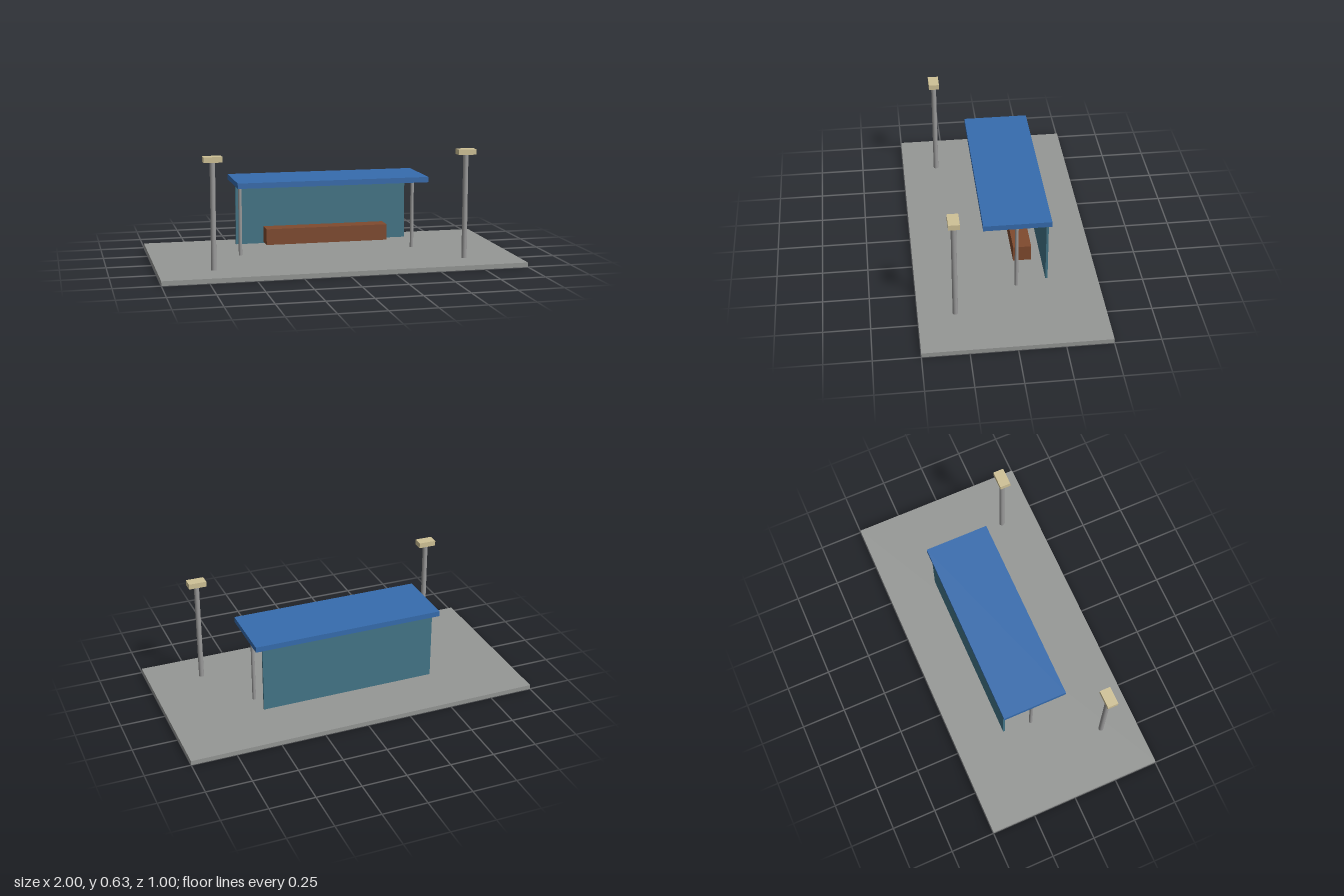
import * as THREE from 'three';

const paint = (name, color) => {
  const m = new THREE.MeshStandardMaterial({ color });
  m.name = name;
  return m;
};

export function createModel() {
  const group = new THREE.Group();
  const concrete = paint('concrete grey', 0x959795);
  const metal = paint('metal grey', 0x999999);
  const roofBlue = paint('roof blue', 0x366cae);
  const panelTeal = paint('panel teal', 0x437587);
  const wood = paint('bench brown', 0x7f4a2e);
  const cream = paint('lamp cream', 0xcfc196);

  const add = (name, geometry, material, x, y, z) => {
    const mesh = new THREE.Mesh(geometry, material);
    mesh.name = name;
    mesh.position.set(x, y, z);
    group.add(mesh);
  };
  // Box and upright post, both placed by their underside
  const box = (name, mat, w, h, d, x, y, z) =>
    add(name, new THREE.BoxGeometry(w, h, d), mat, x, y + h / 2, z);
  const post = (name, r, y0, y1, x, z) =>
    add(name, new THREE.CylinderGeometry(r, r, y1 - y0, 16), metal, x, (y0 + y1) / 2, z);

  // Platform slab
  box('platform', concrete, 2, 0.025, 1, 0, 0, 0);

  // Shelter: roof, back panel and bench
  box('roof', roofBlue, 1.08, 0.03, 0.365, 0, 0.43, -0.05);
  box('backPanel', panelTeal, 1, 0.375, 0.012, 0, 0.055, -0.215);
  box('bench', wood, 0.7, 0.09, 0.1, 0, 0.075, -0.1);

  // Mirrored roof posts and lamps
  for (const [side, s] of [['left', 1], ['right', -1]]) {
    post(`${side}RoofPost`, 0.01, 0.025, 0.43, s * 0.5, -0.05);
    post(`${side}LampPost`, 0.0145, 0.025, 0.605, s * 0.7, 0.3);
    box(`${side}LampHead`, cream, 0.1, 0.03, 0.06, s * 0.7, 0.605, 0.3);
  }
  return group;
}
